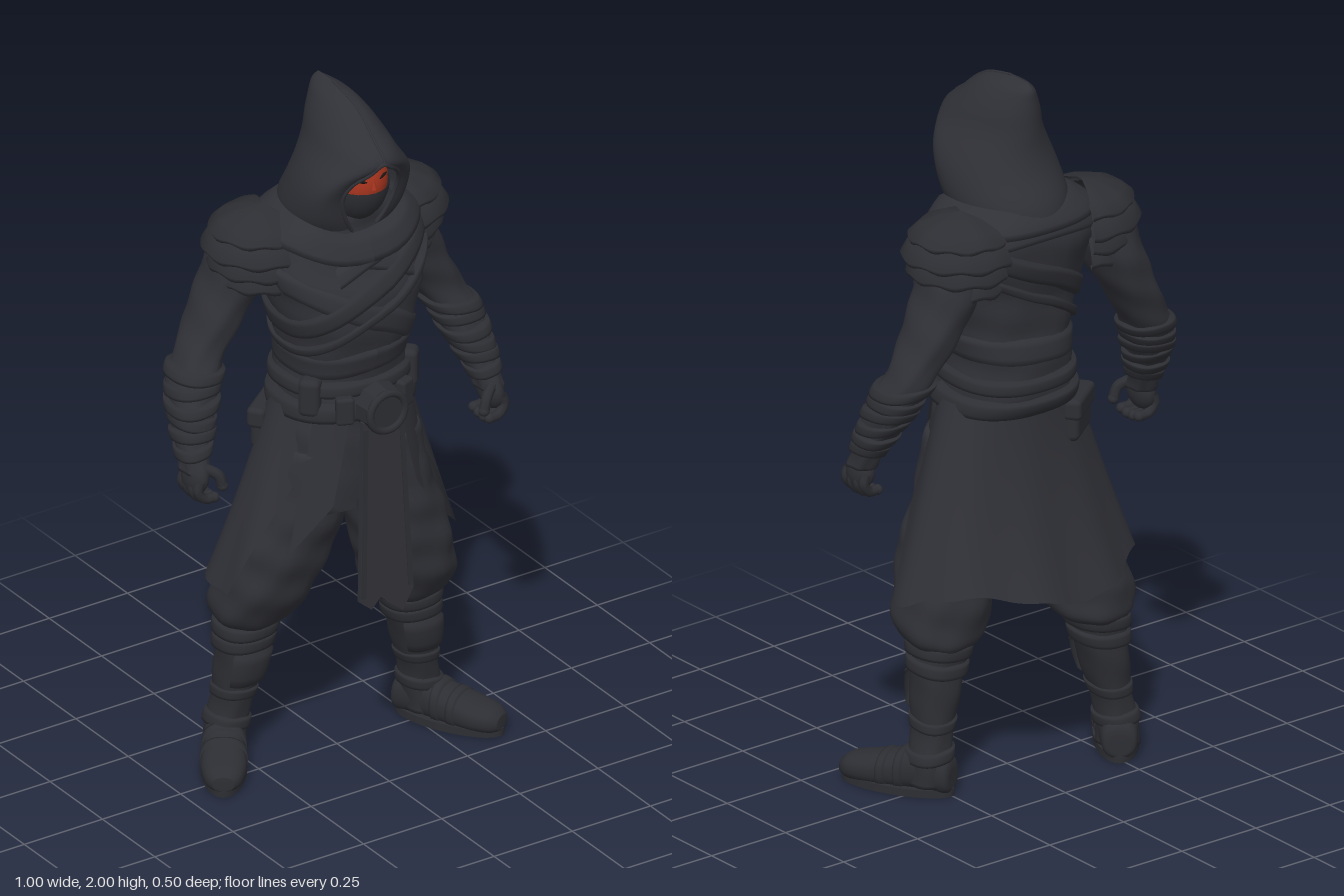
import * as THREE from 'three';
import { toCreasedNormals } from 'three/addons/utils/BufferGeometryUtils.js';
import { RoundedBoxGeometry } from 'three/addons/geometries/RoundedBoxGeometry.js';

const paint = (name, color, side = THREE.FrontSide) => {
  const m = new THREE.MeshStandardMaterial({ color, side });
  m.name = name;
  return m;
};
const cloth = paint('charcoal cloth', 0x303137, THREE.DoubleSide);
const leather = paint('dark leather', 0x2d2e33, THREE.DoubleSide);
const skin = paint('red face', 0xa8351f);
const black = paint('eye black', 0x1a1312);
const { sin, cos, PI, abs, sign, max, min } = Math;

// Smoothly resample cross-sections [y, cx, cz, rx, rz], listed bottom to top
function dense(rows, steps = 5) {
  const out = [], get = i => rows[max(0, min(rows.length - 1, i))];
  for (let i = 0; i < rows.length - 1; i++) for (let s = 0; s < steps; s++) {
    const t = s / steps, [a, b, c, d] = [get(i - 1), get(i), get(i + 1), get(i + 2)];
    out.push(b.map((v, k) => v + 0.5 * t * (c[k] - a[k] + t * (2 * a[k] - 5 * v + 4 * c[k] - d[k] + t * (3 * (v - c[k]) + d[k] - a[k])))));
  }
  out.push(rows[rows.length - 1]);
  return out;
}
// Cross-section at height y
function at(list, y) {
  let i = 0;
  while (i < list.length - 2 && list[i + 1][0] < y) i++;
  const t = max(0, min(1, (y - list[i][0]) / (list[i + 1][0] - list[i][0])));
  return list[i].map((v, k) => v + (list[i + 1][k] - v) * t);
}
// Point on a cross-section; angle 0 faces front and grows toward +x
function ringPoint([y, cx, cz, rx, rz], a, off = 0) {
  const p = v => sign(v) * abs(v) ** 0.85;
  return [cx + (rx + off) * p(sin(a)), y, cz + (rz + off) * p(cos(a))];
}
// Grid surface from a rule f(u, v) with u and v in 0..1
function grid(nu, nv, f, closed = false) {
  const pos = [], idx = [], w = closed ? nu : nu + 1;
  for (let j = 0; j <= nv; j++) for (let i = 0; i < w; i++) pos.push(...f(i / nu, j / nv));
  for (let j = 0; j < nv; j++) for (let i = 0; i < nu; i++) {
    const k = (i + 1) % w, a = j * w + i, b = j * w + k;
    idx.push(a, b, a + w, b, b + w, a + w);
  }
  if (closed) for (let i = 1; i < nu - 1; i++) idx.push(0, i + 1, i, nv * w, nv * w + i, nv * w + i + 1);
  const g = new THREE.BufferGeometry();
  g.setAttribute('position', new THREE.Float32BufferAttribute(pos, 3));
  g.setIndex(idx);
  g.computeVertexNormals();
  return g;
}
function loft(list, fold = 0) {
  const n = list.length - 1;
  return grid(32, n, (u, v) => {
    const s = list[Math.round(v * n)];
    return ringPoint(s, u * 2 * PI, fold * sin(u * 8 * PI + s[0] * 14) * sin(s[0] * 40 - u * 4 * PI));
  }, true);
}
// Raised strip wrapped on a lofted body; yOf gives its height at each angle
function band(list, yOf, width, lift, a0 = 0, a1 = 2 * PI) {
  return grid(48, 6, (u, v) => {
    const a = a0 + (a1 - a0) * u, y = yOf(a) + (v - 0.5) * width;
    const edge = v === 0 || v === 1 ? -0.012 : lift * (0.7 + 0.3 * sin(PI * v));
    const p = ringPoint(at(list, y), a, edge);
    p[1] = y;
    return p;
  });
}
const tube = (pts, r, n = 14) => new THREE.TubeGeometry(new THREE.CatmullRomCurve3(pts.map(p => new THREE.Vector3(...p))), n, r, 7);

export function createModel() {
  const model = new THREE.Group();
  const add = (name, geo, mat = cloth, parent = model, p = [0, 0, 0], r = [0, 0, 0], s = [1, 1, 1]) => {
    const m = new THREE.Mesh(geo, mat);
    m.name = name;
    m.position.set(...p); m.rotation.set(...r); m.scale.set(...s);
    parent.add(m);
    return m;
  };
  const sphere = (...rest) => new THREE.SphereGeometry(1, 24, 16, ...rest);

  // Torso with crossed straps and waist wraps
  const torso = dense([[0.8, 0, 0.035, 0.2, 0.13], [1.0, 0, 0.035, 0.195, 0.142], [1.1, 0, 0.015, 0.178, 0.163],
    [1.21, 0, 0.01, 0.166, 0.163], [1.31, 0, 0.025, 0.185, 0.172], [1.43, 0, 0.022, 0.212, 0.183],
    [1.53, 0, -0.008, 0.24, 0.176], [1.61, 0, -0.02, 0.215, 0.155], [1.67, 0, 0, 0.14, 0.13], [1.73, 0, 0.01, 0.09, 0.09]]);
  add('torso', loft(torso, 0.005));
  [[1.47, 0.075], [1.395, 0.035]].forEach(([y, w]) => add('chestStrap', band(torso, a => y + 0.12 * sin(a), w, 0.013), leather));
  add('wrapFold', band(torso, a => 1.38 - 0.12 * sin(a), 0.1, 0.006, -1.3, 1.3));
  add('collarFold', band(torso, a => 1.54 - 0.11 * sin(a), 0.06, 0.01, -1.2, 0.5));
  add('collarFold', band(torso, a => 1.55 + 0.1 * sin(a), 0.06, 0.012, -0.4, 1.2));
  add('waistWrap', band(torso, a => 1.245 + 0.015 * sin(a), 0.09, 0.006));
  add('cowl', band(torso, a => 1.635 - 0.06 * max(0, cos(a)) ** 3, 0.095, 0.022));
  add('backDrape', band(torso, a => 1.585 + 0.02 * cos(2 * a), 0.07, 0.012, 1.7, 4.6));

  // Belt, buckle and pouches
  [[1.16, 0.05, 0.016], [1.095, 0.065, 0.02]].forEach(([y, w, l]) => add('belt', band(torso, a => y + 0.01 * cos(a), w, l), leather));
  const disc = new THREE.CylinderGeometry(0.064, 0.07, 0.055, 10);
  add('buckle', toCreasedNormals(disc, 0.5), leather, model, [0, 1.115, 0.215], [PI / 2, 0, 0]);
  add('buckleRim', new THREE.TorusGeometry(0.055, 0.011, 8, 24), leather, model, [0, 1.115, 0.241]);
  [-1, 1].forEach(s => {
    add('beltClasp', new RoundedBoxGeometry(0.05, 0.08, 0.035, 2, 0.01), leather, model, [s * 0.095, 1.12, 0.178], [0, s * 0.4, 0]);
    add('sidePouch', new RoundedBoxGeometry(0.06, 0.11, 0.06, 2, 0.018), leather, model, [s * 0.155, 1.15, 0.105], [0, s * 0.85, 0]);
  });
  const pouch = new THREE.Group();
  pouch.name = 'hipPouch';
  pouch.position.set(-0.17, 1.0, -0.085); pouch.rotation.y = -2.5;
  model.add(pouch);
  add('pouchBody', new RoundedBoxGeometry(0.15, 0.12, 0.045, 2, 0.02), leather, pouch);
  add('pouchFlap', new RoundedBoxGeometry(0.16, 0.06, 0.053, 2, 0.015), leather, pouch, [0, 0.035, 0.004]);

  // Flared coat skirt, open in front, with a pointed hem
  add('coatSkirt', grid(72, 16, (u, v) => {
    const t = 1 - v, front = 0.42 + 1.0 * t, a = front + (2 * PI - 2 * front) * u;
    const back = max(0, -cos(a - 0.3)), side = abs(sin(a));
    const hem = 0.61 - 0.08 * back ** 4 - 0.045 * side ** 12 + 0.005 * sin(a * 11);
    const f = 1 + 0.025 * t * sin(a * 9);
    return [(0.2 + 0.17 * t) * f * sin(a), 1.1 + (hem - 1.1) * t, 0.005 - 0.02 * t + (0.135 + 0.098 * t * t) * f * cos(a)];
  }));
  [-1, 1].forEach(s => add('frontFlap', grid(8, 10, (u, v) => {
    const t = 1 - v, a = s * (0.4 + 0.5 * u + 0.12 * t);
    return [(0.2 + 0.07 * t) * sin(a), 1.1 - t * (0.26 + 0.15 * u), 0.008 + (0.185 + 0.015 * t) * cos(a)];
  })));
  // Hanging front panel
  const panel = new THREE.Shape([[-0.065, 1.09], [-0.085, 0.56], [-0.05, 0.53], [-0.02, 0.56], [0.0, 0.54], [0.05, 0.5], [0.085, 0.56], [0.065, 1.09]].map(p => new THREE.Vector2(...p)));
  const panelGeo = new THREE.ExtrudeGeometry(panel, { depth: 0.014, bevelEnabled: false });
  add('frontPanel', panelGeo, cloth, model, [0, 0, 0.245], [-0.035, 0, 0]);
  [-1, 1].forEach(s => add('panelBorder', new THREE.BoxGeometry(0.014, 0.5, 0.006), leather, model, [s * 0.066, 0.82, 0.231], [-0.035, 0, s * 0.035]));

  // Limbs, mirrored, with the model's right side set further back
  [1, -1].forEach(s => {
    const right = s < 0;
    const shiftLeg = rows => dense(rows.map(([y, x, z, rx, rz]) => [y, s * x, z - (right ? 0.1 * max(0, min(1, (0.95 - y) / 0.5)) : 0), rx, rz]));
    const trouser = shiftLeg([[0.405, 0.222, 0, 0.07, 0.075], [0.435, 0.213, 0.01, 0.112, 0.102], [0.5, 0.205, 0.025, 0.127, 0.122],
      [0.58, 0.185, 0.032, 0.131, 0.131], [0.68, 0.16, 0.034, 0.133, 0.134], [0.8, 0.125, 0.032, 0.122, 0.138], [0.98, 0.1, 0.035, 0.1, 0.125]]);
    add('trouserLeg', loft(trouser, 0.006));
    const boot = shiftLeg([[0.03, 0.283, -0.015, 0.055, 0.062], [0.1, 0.277, -0.018, 0.054, 0.06], [0.18, 0.262, -0.01, 0.05, 0.058],
      [0.27, 0.247, -0.003, 0.062, 0.07], [0.35, 0.235, 0.003, 0.07, 0.074], [0.44, 0.222, 0.005, 0.074, 0.078]]);
    add('bootShaft', loft(boot, 0.002), leather);
    [[0.4, 0.05, 0.014], [0.355, 0.05, 0.01], [0.2, 0.04, 0.006], [0.115, 0.045, 0.008]].forEach(([y, w, l], i) =>
      add('legWrap', band(boot, a => y + 0.008 * sin(a + i), w, l), leather));
    add('shinGuard', band(boot, () => 0.285, 0.13, 0.012, -0.9, 0.9), leather);

    // Boot foot, lofted from heel to toe, on a flat sole
    const foot = new THREE.Group();
    foot.name = 'foot';
    foot.position.set(s * 0.287, 0, right ? -0.11 : 0);
    foot.rotation.y = s * (right ? 0.6 : 0.48);
    model.add(foot);
    const rows = [[-0.09, 0, -0.05, 0.03, 0.03], [-0.075, 0, -0.06, 0.048, 0.052], [0.0, 0, -0.07, 0.054, 0.062], [0.07, 0, -0.056, 0.058, 0.052],
      [0.15, 0, -0.047, 0.062, 0.042], [0.205, 0, -0.042, 0.05, 0.034], [0.23, 0, -0.037, 0.028, 0.02]];
    const shoe = dense(rows);
    add('shoe', loft(shoe).rotateX(PI / 2), leather, foot);
    [0.05, 0.1].forEach(z => add('shoeStrap', band(shoe, () => z, 0.035, 0.004).rotateX(PI / 2), leather, foot));
    const sole = new THREE.CylinderGeometry(1, 1, 0.022, 28);
    add('sole', toCreasedNormals(sole, 0.6), leather, foot, [0, 0.011, 0.07], [0, 0, 0], [0.062, 1, 0.162]);

    // Arm with wrapped forearm
    const dz = right ? -0.045 : 0;
    const arm = dense([[0.97, 0.455, 0.045, 0.038, 0.042], [1.03, 0.446, 0.022, 0.042, 0.046], [1.12, 0.423, -0.018, 0.058, 0.062],
      [1.2, 0.397, -0.048, 0.066, 0.07], [1.26, 0.365, -0.064, 0.066, 0.07], [1.35, 0.315, -0.07, 0.073, 0.08],
      [1.45, 0.265, -0.068, 0.08, 0.09], [1.55, 0.24, -0.06, 0.08, 0.085]].map(([y, x, z, a, b]) => [y, s * x, z + dz, a, b]));
    add('arm', loft(arm, 0.004));
    for (let i = 0; i < 6; i++) add('forearmWrap', band(arm, a => 1.025 + i * 0.037 + 0.008 * sin(a + i * 1.9), 0.04, 0.009 + 0.003 * (i % 2)), leather);

    // Hand with curled fingers
    const hand = new THREE.Group();
    hand.name = 'hand';
    hand.position.z = dz;
    model.add(hand);
    add('palm', sphere(), leather, hand, [s * 0.457, 0.955, 0.05], [0, 0, s * 0.15], [0.031, 0.052, 0.05]);
    for (let i = 0; i < 4; i++) {
      const z = 0.014 + i * 0.025, d = abs(i - 1.6) * 0.005;
      add('finger', tube([[s * 0.468, 0.955, z], [s * 0.474, 0.92 + d, z], [s * 0.455, 0.895 + d, z + 0.002], [s * 0.425, 0.892 + d, z + 0.004]], 0.0145), leather, hand);
      add('fingertip', sphere(), leather, hand, [s * 0.425, 0.892 + d, z + 0.004], [0, 0, 0], [0.0145, 0.0145, 0.0145]);
    }
    add('thumb', tube([[s * 0.445, 0.985, 0.075], [s * 0.415, 0.965, 0.095], [s * 0.403, 0.93, 0.1]], 0.015), leather, hand);
    add('thumbTip', sphere(), leather, hand, [s * 0.403, 0.93, 0.1], [0, 0, 0], [0.015, 0.015, 0.015]);

    // Overlapping shoulder plates: inner radius, top, outer radius, rim height
    const pauldron = new THREE.Group();
    pauldron.name = 'pauldron';
    pauldron.position.set(s * 0.195, 0, -0.05 + dz * 0.4);
    model.add(pauldron);
    [[0.06, 1.535, 0.132, 1.46], [0.085, 1.582, 0.153, 1.505], [0.07, 1.63, 0.168, 1.553], [0.004, 1.668, 0.148, 1.605]].forEach(([r0, y0, r1, y1], k) => {
      const profile = [[r1 - 0.02, y1 + 0.006], [r1 - 0.004, y1 - 0.004], [r1, y1 + 0.006], [r1 * 0.8 + r0 * 0.2, y1 + (y0 - y1) * 0.5], [r1 * 0.4 + r0 * 0.6, y1 + (y0 - y1) * 0.86], [r0, y0]];
      add('shoulderPlate', grid(36, 5, (u, v) => {
        const a = s * PI / 2 + (u - 0.5) * 3.9, [r, y] = profile[Math.round(v * 5)], rim = (1 - v) ** 2;
        return [r * sin(a), y + rim * (0.008 * sin(a * 9 + k * 2) - 0.012 * cos(a) ** 2), r * cos(a) * 0.91];
      }), leather, pauldron);
    });
    [-0.07, 0, 0.07].forEach(z => add('plateStud', sphere(), leather, pauldron, [s * 0.06, 1.648 - abs(z) * 0.25, z], [0, 0, 0], [0.014, 0.012, 0.014]));
  });

  // Head: red face, cloth mask and narrow eyes
  add('face', sphere(), skin, model, [0, 1.765, 0.07], [0, 0, 0], [0.09, 0.11, 0.11]);
  add('mask', sphere(0, 2 * PI, PI * 0.5, PI * 0.5), leather, model, [0, 1.762, 0.072], [0.08, 0, 0], [0.094, 0.13, 0.115]);
  add('nose', new THREE.ConeGeometry(0.009, 0.035, 8), skin, model, [0, 1.778, 0.176]);
  [-1, 1].forEach(s =>
    add('eye', sphere(), black, model, [s * 0.034, 1.788, 0.168], [0, s * 0.35, s * 0.2], [0.018, 0.004, 0.004]));

  // Peaked hood: columns are y, half width, front z, back z, half opening
  const hood = dense([[1.62, 0.143, 0.125, -0.18, 0.035], [1.67, 0.15, 0.14, -0.168, 0.065], [1.74, 0.14, 0.155, -0.132, 0.086], [1.8, 0.123, 0.185, -0.114, 0.07],
    [1.86, 0.102, 0.23, -0.11, 0.004], [1.91, 0.082, 0.175, -0.11, 0], [1.95, 0.06, 0.127, -0.109, 0], [1.98, 0.036, 0.07, -0.107, 0], [2, 0, -0.02, -0.09, 0]], 4);
  hood.forEach(r => { r[4] = max(0, r[4]); });
  const n = hood.length - 1;
  add('hood', grid(48, n, (u, v) => {
    const [y, w, f, b, o] = hood[Math.round(v * n)], a = u * 2 * PI;
    const lip = cos(a / 2), x = w * sin(a) + o * sign(lip) * abs(lip) ** 6;
    return [x, y, (f + b) / 2 + (f - b) / 2 * cos(a)];
  }));
  const rim = hood.filter(r => r[0] <= 1.86);
  add('hoodRim', tube([...rim.map(r => [-r[4], r[0], r[2]]), ...rim.reverse().map(r => [r[4], r[0], r[2]])].filter((_, i) => i % 2 === 0), 0.006, 48));
  add('hoodSeam', tube(hood.filter(r => r[0] >= 1.86).map(r => [0, r[0], r[2]]), 0.004, 24));
  return model;
}
